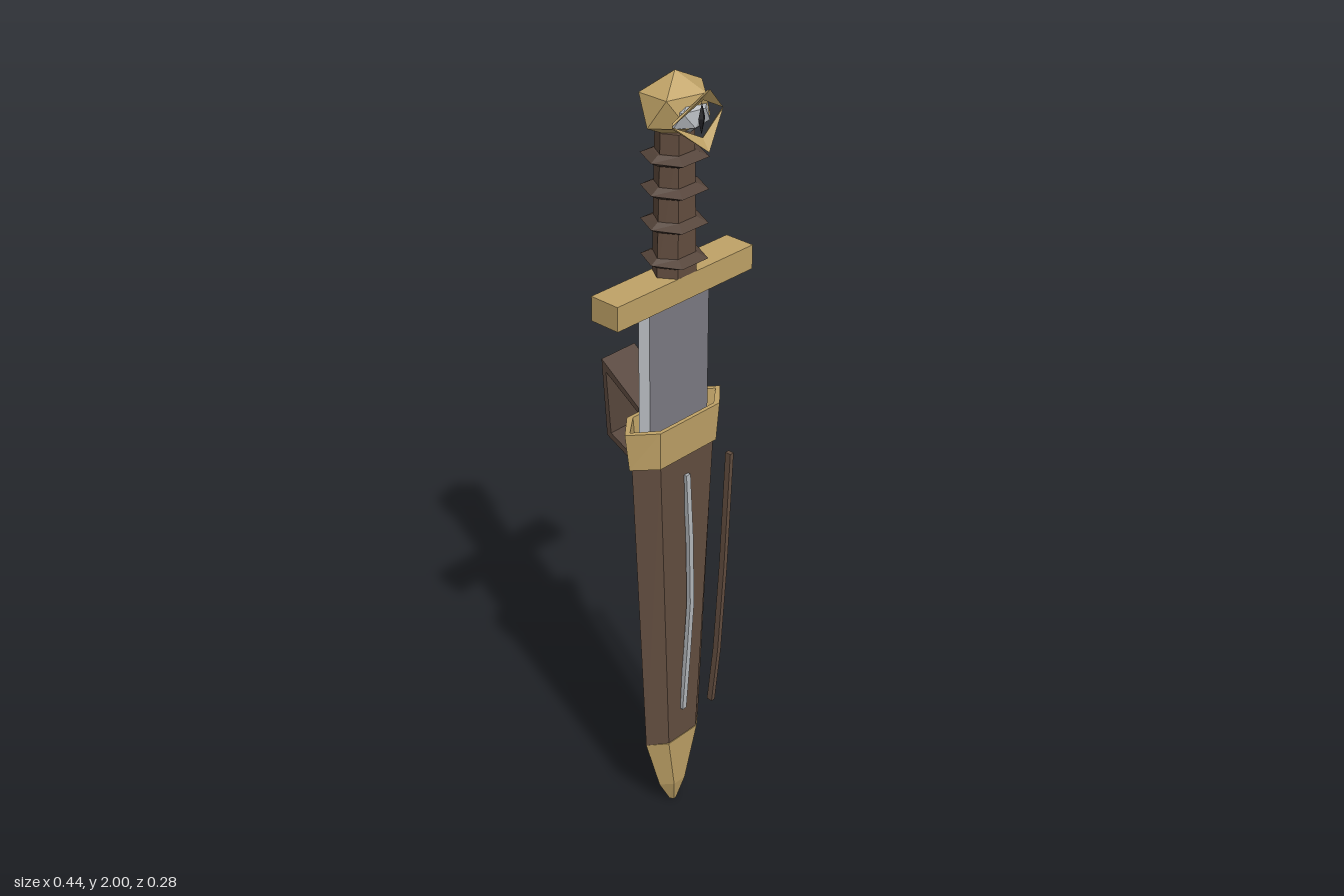
import * as THREE from 'three';
import { ConvexGeometry } from 'three/addons/geometries/ConvexGeometry.js';

const AXIS_Z = 0.04; // the blade axis sits slightly forward of the origin

const mat = (name, color) => {
  const m = new THREE.MeshStandardMaterial({ color });
  m.name = name;
  return m;
};

// Faceted geometry from a list of triangles (each three [x, y, z] corners)
function facets(tris) {
  const g = new THREE.BufferGeometry();
  g.setAttribute('position', new THREE.Float32BufferAttribute(tris.flat(2), 3));
  g.computeVertexNormals();
  return g;
}

// Flattened hexagon: points at +-a on x, flats of half width b at depth +-c
const hexRing = ([y, a, b, c]) =>
  [[a, 0], [b, -c], [-b, -c], [-a, 0], [-b, c], [b, c]].map(([x, z]) => [x, y, z + AXIS_Z]);

// Skin between successive rings, bottom to top, with optional end caps
function loft(rings, caps = true) {
  const tris = [];
  const n = rings[0].length;
  const cap = (r, up) => {
    for (let i = 1; i < n - 1; i++) tris.push(up ? [r[0], r[i], r[i + 1]] : [r[0], r[i + 1], r[i]]);
  };
  for (let k = 0; k < rings.length - 1; k++) {
    const lo = rings[k], hi = rings[k + 1];
    for (let i = 0; i < n; i++) {
      const j = (i + 1) % n;
      tris.push([lo[i], lo[j], hi[j]], [lo[i], hi[j], hi[i]]);
    }
  }
  if (caps) {
    cap(rings[0], false);
    cap(rings[rings.length - 1], true);
  }
  return facets(tris);
}

const hexLoft = (rows, caps) => loft(rows.map(hexRing), caps);

// Slim bar of rectangular section following centre points
const bar = (points, w, d) => loft(points.map(([x, y, z]) =>
  [[x + w, y, z + d], [x + w, y, z - d], [x - w, y, z - d], [x - w, y, z + d]]));

// Icosahedron standing on a vertex, stretched to three radii
function uprightIcosahedron(rx, ry, rz) {
  const pts = [new THREE.Vector3(0, ry, 0), new THREE.Vector3(0, -ry, 0)];
  for (let i = 0; i < 5; i++) {
    const t = (i * Math.PI * 2) / 5;
    for (const s of [1, -1]) {
      pts.push(new THREE.Vector3(s * Math.cos(t) * 0.894 * rx, s * 0.447 * ry, Math.sin(t) * 0.894 * rz));
    }
  }
  return new ConvexGeometry(pts);
}

export function createModel() {
  const brass = mat('brass', 0xc0a367);
  const leather = mat('leather', 0x624d3f);
  const darkLeather = mat('dark leather', 0x55443a);
  const steel = mat('steel', 0x7b7a82);
  const brightSteel = mat('bright steel', 0xb4b8bc);
  const black = mat('black', 0x1c1c20);

  const group = new THREE.Group();
  const add = (name, geometry, material, x = 0, y = 0, z = 0) => {
    const mesh = new THREE.Mesh(geometry, material);
    mesh.name = name;
    mesh.position.set(x, y, z);
    group.add(mesh);
    return mesh;
  };

  // Scabbard: brass tip, leather body, open brass throat
  add('scabbardTip', hexLoft([
    [0, 0.01, 0.004, 0.01], [0.07, 0.048, 0.02, 0.026], [0.23, 0.097, 0.052, 0.037],
  ]), brass);
  add('scabbardBody', hexLoft([
    [0.23, 0.097, 0.05, 0.035], [1.08, 0.14, 0.09, 0.044],
  ]), leather);
  add('scabbardThroat', hexLoft([
    [1.075, 0.148, 0.095, 0.049], [1.175, 0.162, 0.1, 0.054],
    [1.175, 0.145, 0.09, 0.044], [1.085, 0.135, 0.085, 0.04],
  ], false), brass);

  // Bowed inlay down the front and a leather cord along the left edge
  add('frontInlay', bar([
    [-0.002, 0.32, 0.078], [0.004, 0.5, 0.086], [0.01, 0.65, 0.09], [0.004, 0.85, 0.09], [-0.002, 1.02, 0.085],
  ], 0.007, 0.006), brightSteel);
  add('sideCord', bar([
    [0.102, 0.29, 0.08], [0.113, 0.45, 0.088], [0.126, 0.7, 0.092], [0.141, 1.02, 0.092],
  ], 0.006, 0.008), leather);

  // Belt loop behind the throat, drawn in side profile
  const profile = [
    [0.0, 1.005], [-0.125, 1.065], [-0.14, 1.265], [-0.02, 1.18],
    [-0.02, 1.165], [-0.126, 1.235], [-0.112, 1.075], [0.0, 1.022],
  ];
  const loop = new THREE.ExtrudeGeometry(
    new THREE.Shape(profile.map(([z, y]) => new THREE.Vector2(z, y))),
    { depth: 0.11, bevelEnabled: false });
  loop.translate(0, 0, -0.055).rotateY(-Math.PI / 2);
  add('beltLoop', loop, darkLeather);

  // Single-edged blade with a bright bevel on one side
  add('blade', new THREE.BoxGeometry(0.195, 0.4, 0.03), steel, 0.0025, 1.285, AXIS_Z);
  const bevel = (y) => [[-0.095, y, 0.055], [-0.095, y, 0.025], [-0.115, y, 0.04]];
  add('bladeEdge', loft([bevel(1.085), bevel(1.485)]), brightSteel);

  // Hilt
  add('guard', new THREE.BoxGeometry(0.44, 0.06, 0.08), brass, 0, 1.505, AXIS_Z);
  add('grip', hexLoft([[1.53, 0.056, 0.03, 0.04], [1.87, 0.045, 0.025, 0.036]]), leather);
  for (const y of [1.57, 1.655, 1.735, 1.81]) {
    add('gripRing', hexLoft([
      [y - 0.013, 0.052, 0.028, 0.04], [y, 0.074, 0.042, 0.064], [y + 0.013, 0.052, 0.028, 0.04],
    ]), darkLeather);
  }
  add('pommel', uprightIcosahedron(0.095, 0.075, 0.077), brass, 0, 1.925, AXIS_Z);

  // Eye ornament on the pommel: ball, slit pupil, two chevron lids
  const eyeY = 1.912;
  add('eyeball', uprightIcosahedron(0.058, 0.04, 0.035), brightSteel, 0, eyeY, 0.085);
  const pupil = new THREE.OctahedronGeometry(1);
  pupil.scale(0.011, 0.036, 0.006);
  add('pupil', pupil, black, 0, eyeY, 0.118);
  for (const s of [1, -1]) {
    for (const side of [1, -1]) {
      const p = (x, y, z) => new THREE.Vector3(x * side, y * s, z);
      add(s > 0 ? 'upperLid' : 'lowerLid', new ConvexGeometry([
        p(0.08, 0, 0.107), p(0.076, 0.006, 0.103),
        p(0, 0.042, 0.122), p(0, 0.048, 0.116), p(0, 0.07, 0.141), p(0, 0.066, 0.132),
      ]), brass, 0, eyeY, 0);
    }
  }
  return group;
}
